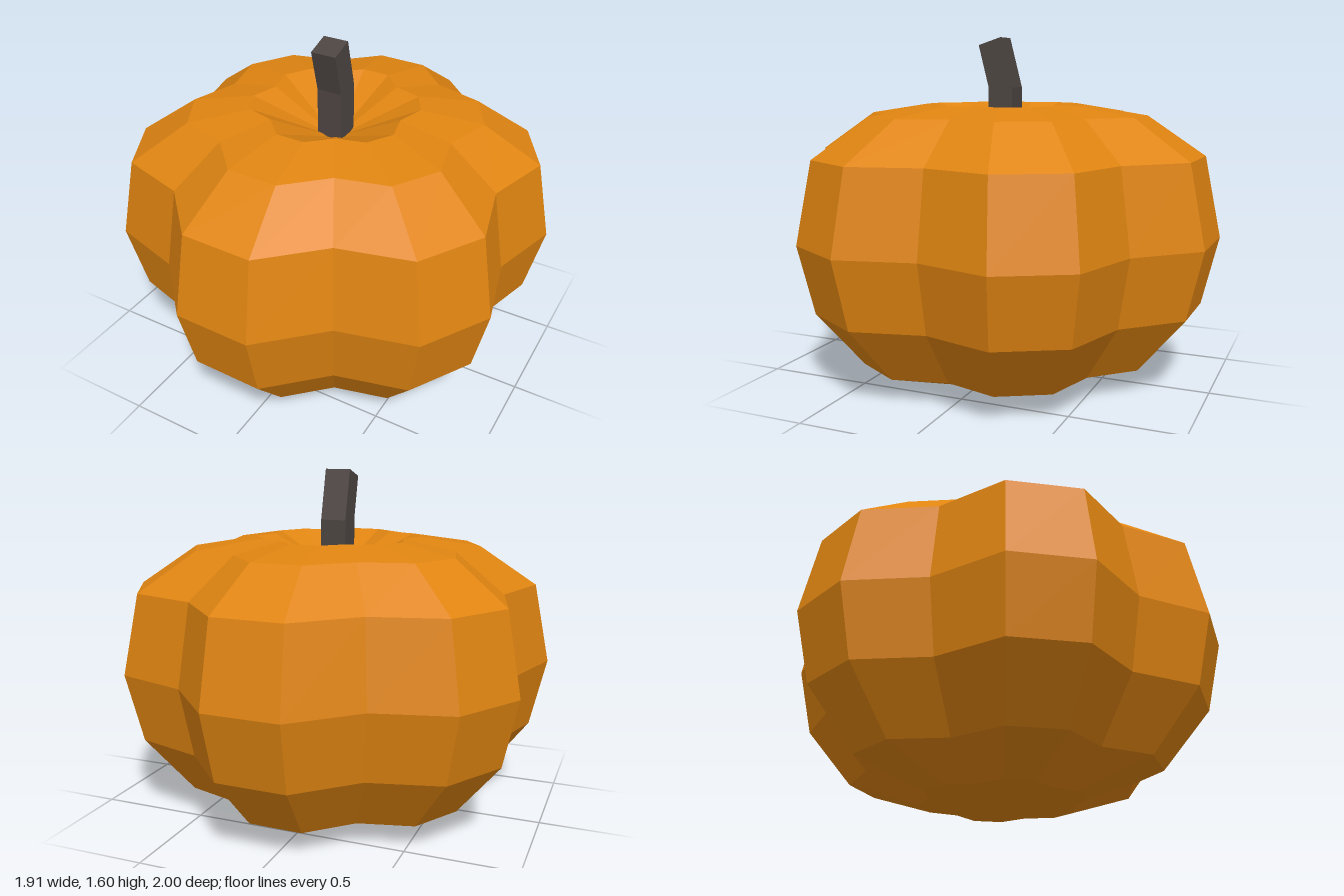
import * as THREE from 'three';

const SEGMENTS = 18; // six lobes: two ridge points and one valley point each
const VALLEY = 0.85;

// Joins closed rings of points, listed from bottom to top, into a faceted skin.
function loft(rings) {
  const pos = [];
  const tri = (a, b, c) => {
    if (a.distanceTo(b) > 1e-6 && b.distanceTo(c) > 1e-6 && c.distanceTo(a) > 1e-6) {
      for (const p of [a, b, c]) pos.push(p.x, p.y, p.z);
    }
  };
  for (let i = 0; i < rings.length - 1; i++) {
    const lo = rings[i], hi = rings[i + 1], n = lo.length;
    for (let j = 0; j < n; j++) {
      const k = (j + 1) % n;
      tri(lo[j], lo[k], hi[k]);
      tri(lo[j], hi[k], hi[j]);
    }
  }
  const geo = new THREE.BufferGeometry();
  geo.setAttribute('position', new THREE.Float32BufferAttribute(pos, 3));
  geo.computeVertexNormals();
  return geo;
}

// Horizontal lobed ring around the pumpkin
function lobedRing([radius, y]) {
  return Array.from({ length: SEGMENTS }, (_, j) => {
    const a = THREE.MathUtils.degToRad(-11 + j * 20);
    const r = radius * (j % 3 === 2 ? VALLEY : 1);
    return new THREE.Vector3(Math.sin(a) * r, y, Math.cos(a) * r);
  });
}

// Four-cornered stem section, given its front and back edges
function stemRing([zFront, yFront, zBack, yBack], w = 0.06) {
  return [
    new THREE.Vector3(-w, yFront, zFront), new THREE.Vector3(w, yFront, zFront),
    new THREE.Vector3(w, yBack, zBack), new THREE.Vector3(-w, yBack, zBack),
  ];
}

export function createModel() {
  const orange = new THREE.MeshStandardMaterial({ color: 0xdf8411, flatShading: true });
  orange.name = 'pumpkinOrange';
  const brown = new THREE.MeshStandardMaterial({ color: 0x4d4542, flatShading: true });
  brown.name = 'stemBrown';

  // Lobed body with a dimple at both ends: [ridge radius, height]
  const profile = [
    [0, 0.06], [0.385, 0], [0.715, 0.11], [0.935, 0.375], [1.01, 0.69],
    [0.935, 1.06], [0.67, 1.24], [0.385, 1.285], [0, 1.11],
  ];
  const body = new THREE.Mesh(loft(profile.map(lobedRing)), orange);
  body.name = 'pumpkinBody';

  // Square stem rising from the dimple and bending forward
  const sections = [
    [0.06, 1.08, -0.06, 1.08], [0.06, 1.365, -0.06, 1.365], [0.11, 1.56, 0, 1.595],
  ].map((s) => stemRing(s));
  const tip = new THREE.Vector3(0, 1.5775, 0.055);
  sections.push([tip, tip, tip, tip]);
  const stem = new THREE.Mesh(loft(sections), brown);
  stem.name = 'stem';

  const group = new THREE.Group();
  group.name = 'pumpkin';
  group.add(body, stem);
  return group;
}
